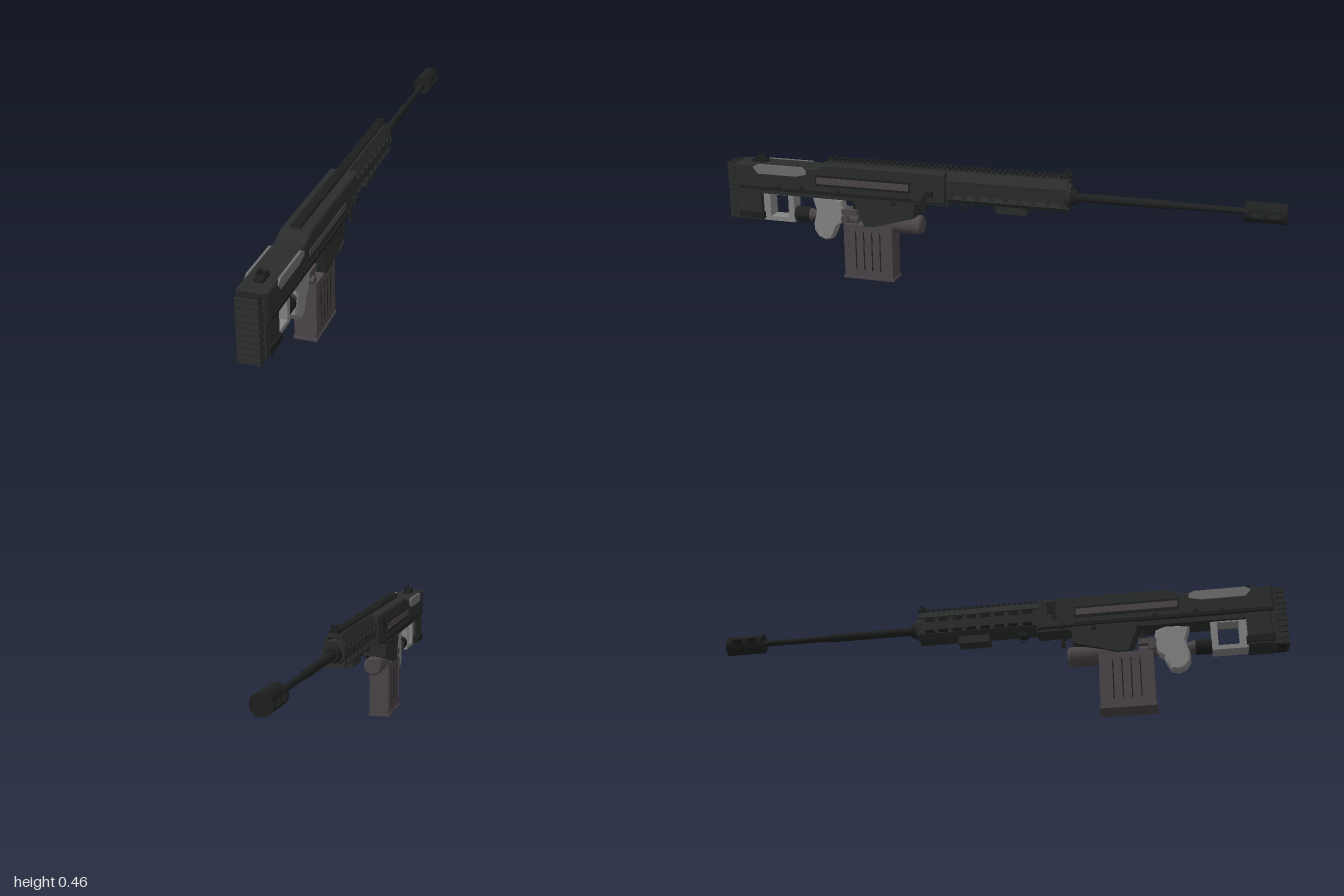
import * as THREE from 'three';

const mat = (name, color) => {
  const m = new THREE.MeshStandardMaterial({ color });
  m.name = name;
  return m;
};

export function createModel() {
  const body = mat('gunmetal', 0x2b2d2d);
  const dark = mat('blackSteel', 0x1f2020);
  const mag = mat('magazineGrey', 0x4c464a);
  const grey = mat('panelGrey', 0x6e6e6e);
  const pale = mat('gripGrey', 0x858585);
  const gun = new THREE.Group();
  gun.name = 'rifle';
  const root = new THREE.Group();
  root.name = 'rifleParts';
  root.position.x = -0.006;
  gun.add(root);

  const add = (name, geo, m, x = 0, y = 0, z = 0) => {
    const mesh = new THREE.Mesh(geo, m);
    mesh.name = name;
    mesh.position.set(x, y, z);
    root.add(mesh);
    return mesh;
  };
  // box from its extents in y and z
  const box = (name, m, w, y0, y1, z0, z1, x = 0) =>
    add(name, new THREE.BoxGeometry(w, y1 - y0, Math.abs(z1 - z0)), m, x, (y0 + y1) / 2, (z0 + z1) / 2);
  // cylinder along z
  const tube = (name, m, r0, r1, z0, z1, y, sides = 20) => {
    const g = new THREE.CylinderGeometry(r1, r0, z0 - z1, sides);
    g.rotateX(-Math.PI / 2);
    return add(name, g, m, 0, y, (z0 + z1) / 2);
  };
  // side profile of [z, y] points, extruded across x; holes are [z, y, length, height]
  const slab = (name, m, pts, w, x = 0, holes = [], bevel = 0) => {
    const shape = new THREE.Shape(pts.map(([z, y]) => new THREE.Vector2(-z, y)));
    for (const [z, y, l, h] of holes) {
      const p = [[-l, -h], [-l, h], [l, h], [l, -h]];
      shape.holes.push(new THREE.Path(p.map(([a, b]) => new THREE.Vector2(-z + a / 2, y + b / 2))));
    }
    const g = new THREE.ExtrudeGeometry(shape, {
      depth: w - 2 * bevel, bevelEnabled: bevel > 0, bevelSize: bevel, bevelOffset: -bevel,
      bevelThickness: bevel, bevelSegments: 1,
    });
    g.translate(0, 0, -w / 2 + bevel);
    g.rotateY(Math.PI / 2);
    return add(name, g, m, x);
  };
  const rect = (z0, z1, y0, y1) => [[z0, y0], [z1, y0], [z1, y1], [z0, y1]];

  // receiver
  slab('receiver', body, [[0.96, 0.312], [0.155, 0.312], [0.155, 0.424], [0.61, 0.424], [0.655, 0.405], [0.96, 0.405]], 0.098, 0, [], 0.005);
  slab('lowerReceiver', body, rect(0.87, 0.27, 0.295, 0.32), 0.08);
  slab('magazineWell', body, [[0.505, 0.312], [0.465, 0.205], [0.43, 0.205], [0.275, 0.25], [0.275, 0.312]], 0.09);
  slab('forwardLug', body, rect(0.27, 0.15, 0.305, 0.335), 0.07);
  for (const s of [-1, 1]) {
    box('slotRecess', dark, 0.004, 0.343, 0.384, 0.285, 0.645, s * 0.049);
    box('boltCover', mag, 0.004, 0.352, 0.376, 0.29, 0.64, s * 0.051);
    box('lowerTrim', dark, 0.006, 0.312, 0.324, 0.28, 0.95, s * 0.049);
    // cheek panels
    slab('cheekPanel', grey, [[0.89, 0.396], [0.87, 0.372], [0.72, 0.372], [0.68, 0.382], [0.68, 0.398], [0.7, 0.407], [0.87, 0.407]], 0.008, s * 0.048);
    // pins
    for (const [z, y] of [[0.215, 0.35], [0.24, 0.315], [0.7, 0.33], [0.79, 0.325], [0.56, 0.325], [0.35, 0.3]]) {
      const pin = add('pin', new THREE.CylinderGeometry(0.009, 0.009, 0.012, 10), dark, s * 0.0475, y, z);
      pin.rotation.z = Math.PI / 2;
    }
  }
  box('chargingHandle', dark, 0.026, 0.338, 0.36, 0.2, 0.225, 0.053);
  box('chargingLever', dark, 0.008, 0.28, 0.34, 0.225, 0.24, 0.05);
  box('leftSelector', dark, 0.009, 0.365, 0.408, 0.19, 0.22, -0.0495);

  // butt pad and stock
  slab('buttPlate', body, rect(0.965, 0.935, 0.192, 0.405), 0.08);
  slab('lowerStock', body, rect(0.95, 0.865, 0.19, 0.32), 0.086, 0, [], 0.005);
  slab('stockFoot', dark, [[0.955, 0.2], [0.86, 0.2], [0.86, 0.222], [0.955, 0.228]], 0.098);
  slab('buttPad', dark, rect(0.99, 0.96, 0.19, 0.405), 0.066);
  for (let i = 0; i < 10; i++) box('padRib', body, 0.07, 0.193 + i * 0.0212, 0.21 + i * 0.0212, 0.965, 1);
  slab('stockFrame', pale, rect(0.865, 0.745, 0.19, 0.3), 0.055, 0, [[0.803, 0.248, 0.072, 0.084]]);

  // grip and trigger group
  tube('gripCollar', dark, 0.027, 0.027, 0.75, 0.69, 0.218, 16);
  tube('gripCone', mag, 0.024, 0.012, 0.69, 0.64, 0.218, 16);
  slab('grip', pale, [[0.675, 0.29], [0.66, 0.24], [0.672, 0.19], [0.672, 0.165], [0.655, 0.14], [0.63, 0.13], [0.605, 0.136],
    [0.59, 0.165], [0.583, 0.185], [0.56, 0.2], [0.55, 0.24], [0.56, 0.285], [0.6, 0.3]], 0.042, 0, [], 0.006);
  tube('triggerAxle', mag, 0.02, 0.02, 0.6, 0.5, 0.215, 12);
  slab('trigger', dark, [[0.525, 0.3], [0.52, 0.26], [0.53, 0.22], [0.52, 0.21], [0.505, 0.25], [0.51, 0.3]], 0.016);
  box('triggerBlock', mag, 0.05, 0.235, 0.255, 0.5, 0.56);
  for (const s of [-1, 1]) {
    const knob = add('triggerKnob', new THREE.CylinderGeometry(0.014, 0.014, 0.014, 12), mag, s * 0.028, 0.222, 0.545);
    knob.rotation.z = Math.PI / 2;
  }

  // magazine with pressed ribs
  box('magazine', mag, 0.074, 0.005, 0.205, 0.362, 0.548);
  box('magazineBase', mag, 0.08, 0, 0.008, 0.358, 0.553);
  for (const s of [-1, 1]) {
    for (let i = 0; i < 4; i++) box('magazineGroove', dark, 0.002, 0.035, 0.18, 0.407 + i * 0.031, 0.411 + i * 0.031, s * 0.037);
    box('magazineEdge', mag, 0.005, 0.045, 0.195, 0.53, 0.546, s * 0.036);
  }
  tube('canister', mag, 0.035, 0.035, 0.44, 0.262, 0.215, 24);
  tube('canisterCap', mag, 0.035, 0.029, 0.262, 0.255, 0.215, 24);

  // slotted handguard
  const slots = [];
  for (let i = 0; i < 8; i++) for (const y of [0.341, 0.386]) slots.push([0.118 - i * 0.05, y, 0.034, 0.013]);
  for (const s of [-1, 1]) {
    slab('handguardSide', body, rect(0.155, -0.275, 0.33, 0.398), 0.006, s * 0.035, slots);
    const chamfer = box('handguardChamfer', body, 0.006, 0.391, 0.429, -0.275, 0.155, s * 0.0275);
    chamfer.rotation.z = s * 0.62;
    const under = box('handguardLowerChamfer', body, 0.006, 0.317, 0.336, -0.275, 0.155, s * 0.032);
    under.rotation.z = -s * 0.7;
  }
  box('handguardTop', body, 0.038, 0.42, 0.427, -0.275, 0.155);
  box('handguardBottom', body, 0.056, 0.319, 0.325, -0.275, 0.155);
  tube('handguardCap', body, 0.044, 0.04, -0.265, -0.285, 0.37, 16);
  tube('barrelNut', dark, 0.03, 0.024, -0.285, -0.305, 0.365, 16);

  // top rail
  box('railBase', body, 0.026, 0.42, 0.433, -0.28, 0.61);
  for (let i = 0; i < 45; i++) box('railTooth', dark, 0.03, 0.431, 0.441, 0.598 - i * 0.0198, 0.609 - i * 0.0198);

  // sights
  box('frontSightBase', dark, 0.028, 0.436, 0.446, -0.285, -0.255);
  for (const x of [-0.008, 0, 0.008]) box('frontSightPost', dark, 0.003, 0.44, 0.461, -0.276, -0.266, x);
  box('rearSightBase', dark, 0.03, 0.404, 0.416, 0.855, 0.91);
  for (const x of [-0.011, 0.011]) box('rearSightEar', dark, 0.006, 0.41, 0.428, 0.868, 0.893, x);
  box('rearSightBlade', dark, 0.004, 0.41, 0.44, 0.882, 0.888);

  // under-handguard fittings
  box('forwardBlock', body, 0.05, 0.29, 0.322, -0.13, -0.02);
  box('forwardStud', dark, 0.006, 0.305, 0.322, -0.165, -0.16);
  box('swivelMount', dark, 0.03, 0.304, 0.322, 0.085, 0.115);
  for (const z of [0.185, 0.098]) {
    const ring = add('slingRing', new THREE.TorusGeometry(0.012, 0.0025, 6, 18), dark, 0, 0.3, z);
    ring.rotation.y = Math.PI / 2;
  }

  // barrel and slotted muzzle brake
  tube('barrel', dark, 0.0135, 0.0105, 0.155, -0.88, 0.365, 18);
  tube('barrelStep', dark, 0.015, 0.0145, -0.3, -0.62, 0.365, 18);
  // segments above and below the ports, closed by solid rings
  for (const [a, b] of [[-0.865, -0.882], [-0.925, -0.937], [-0.98, -1]]) tube('brakeRing', dark, 0.035, 0.035, a, b, 0.365, 24);
  for (const s of [0, 1]) {
    const shape = new THREE.Shape();
    const a = Math.asin(0.011 / 0.034);
    shape.absarc(0, 0, 0.034, a, Math.PI - a);
    const g = new THREE.ExtrudeGeometry(shape, { depth: 0.125, bevelEnabled: false, curveSegments: 14 });
    const half = add('brakeHalf', g, dark, 0, 0.365, -0.995);
    half.rotation.z = s * Math.PI;
  }
  return gun;
}
